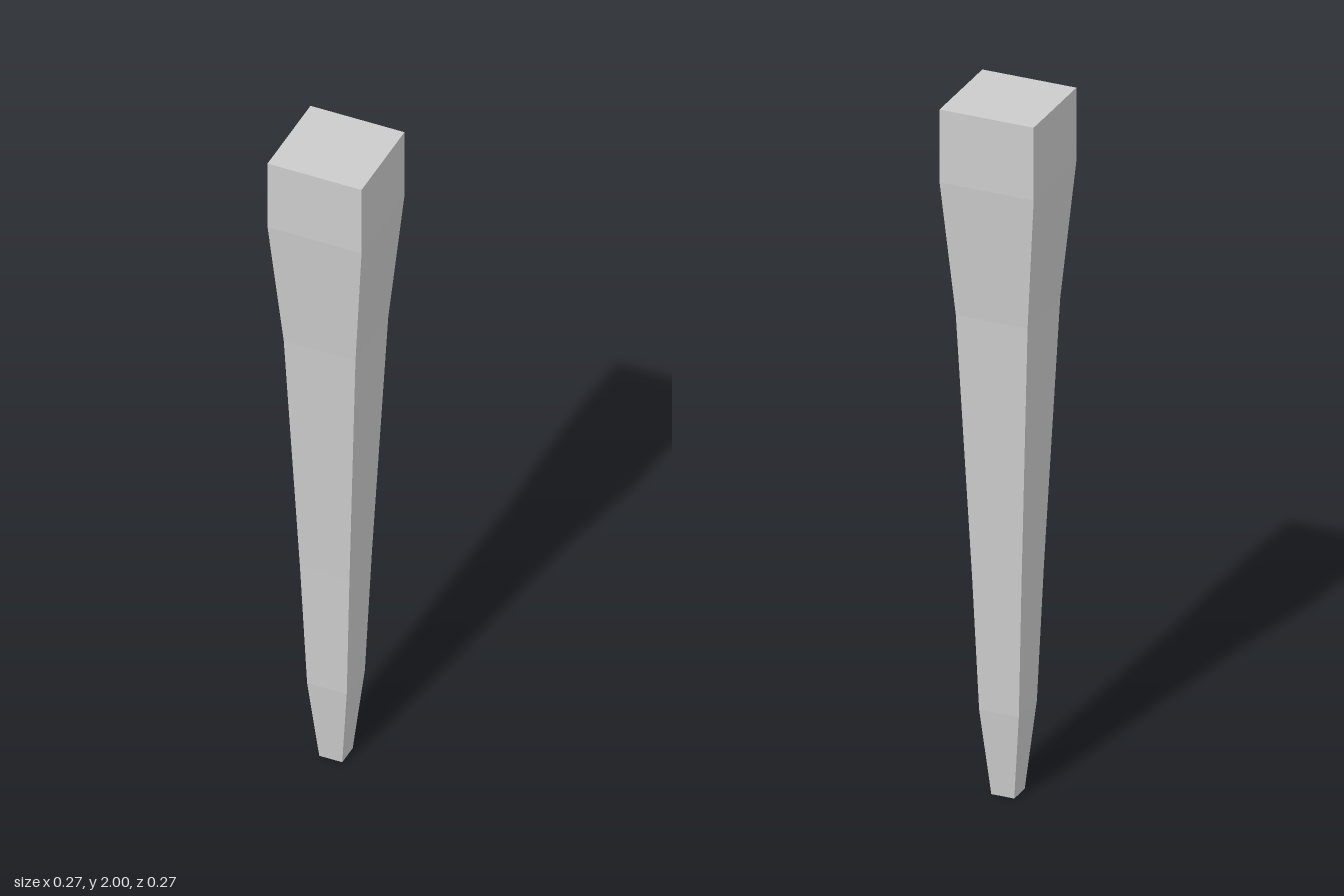
import * as THREE from 'three';

// Height and half-width of each square section, from foot to top
const SECTIONS = [
  [0, 0.033], [0.25, 0.057], [0.64, 0.071],
  [1.4, 0.103], [1.79, 0.135], [2, 0.135],
];

// Square tapered post: each row of box vertices is moved to its section
function taperedPost(sections) {
  const rows = sections.length - 1;
  const box = new THREE.BoxGeometry(2, rows, 2, 1, rows, 1);
  const pos = box.attributes.position;
  for (let i = 0; i < pos.count; i++) {
    const [y, half] = sections[Math.round(pos.getY(i) + rows / 2)];
    pos.setXYZ(i, pos.getX(i) * half, y, pos.getZ(i) * half);
  }
  const geometry = box.toNonIndexed();
  geometry.computeVertexNormals();
  return geometry;
}

export function createModel() {
  const group = new THREE.Group();
  group.name = 'furnitureLeg';
  const material = new THREE.MeshStandardMaterial({ color: 0xcccccc, flatShading: true });
  const leg = new THREE.Mesh(taperedPost(SECTIONS), material);
  leg.name = 'taperedLeg';
  group.add(leg);
  return group;
}
